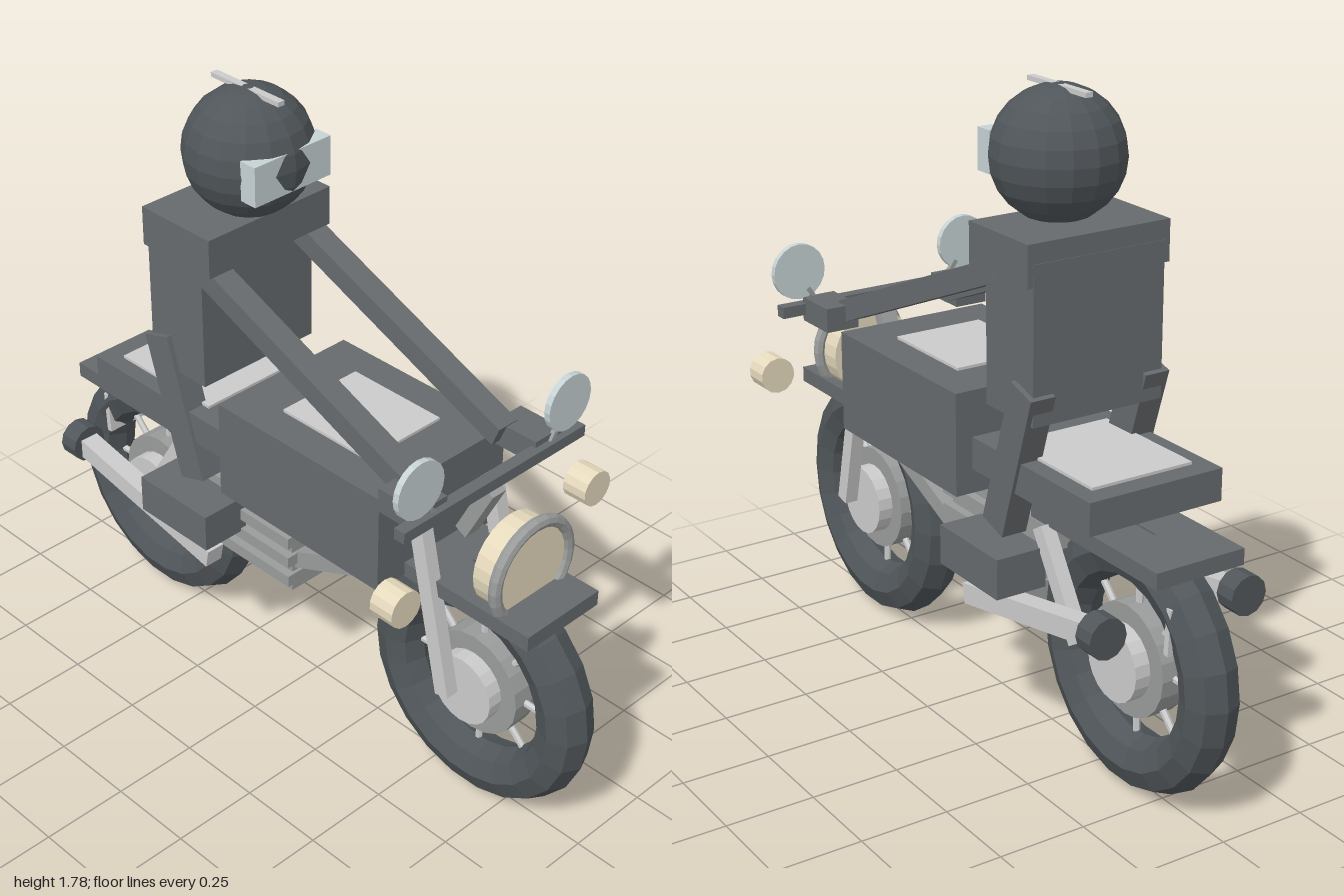
import * as THREE from 'three';

const mat = (color) => new THREE.MeshStandardMaterial({ color, flatShading: true });
const M = {
  grey: mat(0xcccccc),
  metal: mat(0x9a9c9c),
  dark: mat(0x666a6d),
  tyre: mat(0x50565a),
  glass: mat(0xc6d2d4),
  cream: mat(0xe6dabd),
};

export function createModel() {
  const model = new THREE.Group();
  model.name = 'motorcycleWithRider';

  const add = (name, geo, m, x, y, z, parent = model) => {
    const mesh = new THREE.Mesh(geo, m);
    mesh.name = name;
    mesh.position.set(x, y, z);
    parent.add(mesh);
    return mesh;
  };
  // Box given by its lower and upper corners
  const box = (name, m, [x0, y0, z0], [x1, y1, z1]) =>
    add(name, new THREE.BoxGeometry(x1 - x0, y1 - y0, z1 - z0), m,
      (x0 + x1) / 2, (y0 + y1) / 2, (z0 + z1) / 2);
  // Rectangular bar between two points
  const bar = (name, m, a, b, w, h) => {
    const A = new THREE.Vector3(...a), B = new THREE.Vector3(...b);
    const mid = A.clone().add(B).multiplyScalar(0.5);
    const mesh = add(name, new THREE.BoxGeometry(w, h, A.distanceTo(B)), m, mid.x, mid.y, mid.z);
    mesh.lookAt(B);
    return mesh;
  };
  // Cylinder lying along x or z
  const disc = (name, m, axis, r, len, x, y, z, sides = 20, parent = model) => {
    const g = new THREE.CylinderGeometry(r, r, len, sides);
    if (axis === 'x') g.rotateZ(Math.PI / 2);
    if (axis === 'z') g.rotateX(Math.PI / 2);
    return add(name, g, m, x, y, z, parent);
  };

  // Wheels: tyre, hub, brake disc and eight spokes
  const wheel = (name, z) => {
    const g = new THREE.Group();
    g.name = name;
    g.position.set(0, 0.37, z);
    model.add(g);
    add('tyre', new THREE.TorusGeometry(0.29, 0.075, 8, 22).rotateY(Math.PI / 2), M.tyre, 0, 0, 0, g);
    disc('brakeDisc', M.metal, 'x', 0.155, 0.08, 0, 0, 0, 20, g);
    disc('hub', M.grey, 'x', 0.103, 0.17, 0, 0, 0, 20, g);
    for (let i = 0; i < 8; i++) {
      const a = (i * Math.PI) / 4;
      const s = add('spoke', new THREE.CylinderGeometry(0.01, 0.01, 0.14, 6), M.grey,
        0, 0.155 * Math.cos(a), 0.155 * Math.sin(a), g);
      s.rotation.x = a;
    }
  };
  wheel('frontWheel', 0.635);
  wheel('rearWheel', -0.635);

  // Mudguards, tank, seat
  box('frontMudguard', M.dark, [-0.135, 0.685, 0.37], [0.135, 0.73, 0.89]);
  box('rearMudguard', M.dark, [-0.135, 0.685, -0.875], [0.135, 0.73, -0.34]);
  box('fuelTank', M.dark, [-0.235, 0.69, -0.137], [0.235, 0.98, 0.465]);
  box('tankPanel', M.grey, [-0.135, 0.97, 0.01], [0.135, 0.988, 0.325]);
  box('seat', M.dark, [-0.205, 0.775, -0.695], [0.205, 0.865, -0.17]);
  box('seatPad', M.grey, [-0.155, 0.855, -0.635], [0.155, 0.873, -0.27]);

  // Engine with cooling fins
  box('engineBlock', M.metal, [-0.135, 0.395, -0.28], [0.135, 0.69, 0.04]);
  for (let i = 0; i < 4; i++) {
    const y = 0.425 + i * 0.065;
    box('coolingFin', M.metal, [-0.16, y, -0.29], [0.16, y + 0.035, 0.05]);
  }

  // Headlight with chrome ring, steering stem and handlebar
  disc('headlight', M.cream, 'z', 0.13, 0.085, 0, 0.81, 0.738, 24);
  add('headlightRing', new THREE.TorusGeometry(0.138, 0.018, 8, 24), M.metal, 0, 0.81, 0.777);
  bar('steeringStem', M.metal, [0, 0.99, 0.64], [0, 0.82, 0.555], 0.05, 0.04);
  box('handlebar', M.dark, [-0.337, 0.995, 0.615], [0.337, 1.028, 0.65]);

  // Tail light and plate
  box('tailLight', M.cream, [-0.05, 0.62, -0.81], [0.05, 0.685, -0.765]);
  box('plateBracket', M.metal, [-0.02, 0.58, -0.83], [0.02, 0.69, -0.815]);
  const plate = box('rearPlate', M.grey, [-0.07, 0.475, -0.847], [0.07, 0.605, -0.83]);
  plate.rotation.x = -0.06;

  // Paired parts
  for (const s of [1, -1]) {
    const x = (v) => s * v;
    const sideBox = (name, m, x0, x1, y0, y1, z0, z1) =>
      box(name, m, [Math.min(s * x0, s * x1), y0, z0], [Math.max(s * x0, s * x1), y1, z1]);

    bar('frontFork', M.grey, [x(0.137), 0.9, 0.515], [x(0.137), 0.39, 0.63], 0.04, 0.045);
    bar('rearStrut', M.grey, [x(0.137), 0.68, -0.4], [x(0.137), 0.415, -0.565], 0.04, 0.045);
    bar('upperFrameBar', M.metal, [x(0.1), 0.643, 0.36], [x(0.1), 0.643, -0.42], 0.05, 0.065);
    bar('downTube', M.metal, [x(0.1), 0.63, 0.35], [x(0.1), 0.48, 0], 0.05, 0.05);
    bar('exhaustPipe', M.grey, [x(0.22), 0.435, -0.19], [x(0.22), 0.545, -0.76], 0.057, 0.057);
    disc('exhaustTip', M.tyre, 'z', 0.056, 0.06, x(0.22), 0.547, -0.77, 12);
    disc('turnSignal', M.cream, 'z', 0.052, 0.075, x(0.363), 0.83, 0.65, 14);
    disc('mirror', M.glass, 'z', 0.081, 0.018, x(0.275), 1.122, 0.635, 20);
    bar('mirrorStalk', M.metal, [x(0.21), 1.01, 0.632], [x(0.25), 1.07, 0.632], 0.014, 0.014);

    // Rider's limbs
    bar('arm', M.dark, [x(0.17), 1.34, -0.26], [x(0.17), 1.02, 0.52], 0.07, 0.062);
    sideBox('glove', M.dark, 0.165, 0.265, 0.975, 1.045, 0.49, 0.63);
    bar('leg', M.dark, [x(0.178), 1.066, -0.41], [x(0.178), 0.653, -0.28], 0.075, 0.095);
    sideBox('boot', M.dark, 0.14, 0.29, 0.515, 0.627, -0.415, -0.143);
  }

  // Rider's body
  box('torso', M.dark, [-0.2, 0.975, -0.442], [0.2, 1.4, -0.23]);
  box('shoulders', M.dark, [-0.217, 1.34, -0.44], [0.217, 1.453, -0.177]);

  // Helmet, visor and crest
  add('helmet', new THREE.SphereGeometry(0.179, 16, 12), M.tyre, 0, 1.613, -0.255);
  box('visor', M.glass, [-0.133, 1.552, -0.142], [0.133, 1.665, -0.088]);
  box('helmetCrest', M.grey, [-0.011, 1.777, -0.385], [0.011, 1.79, -0.13]);

  return model;
}
